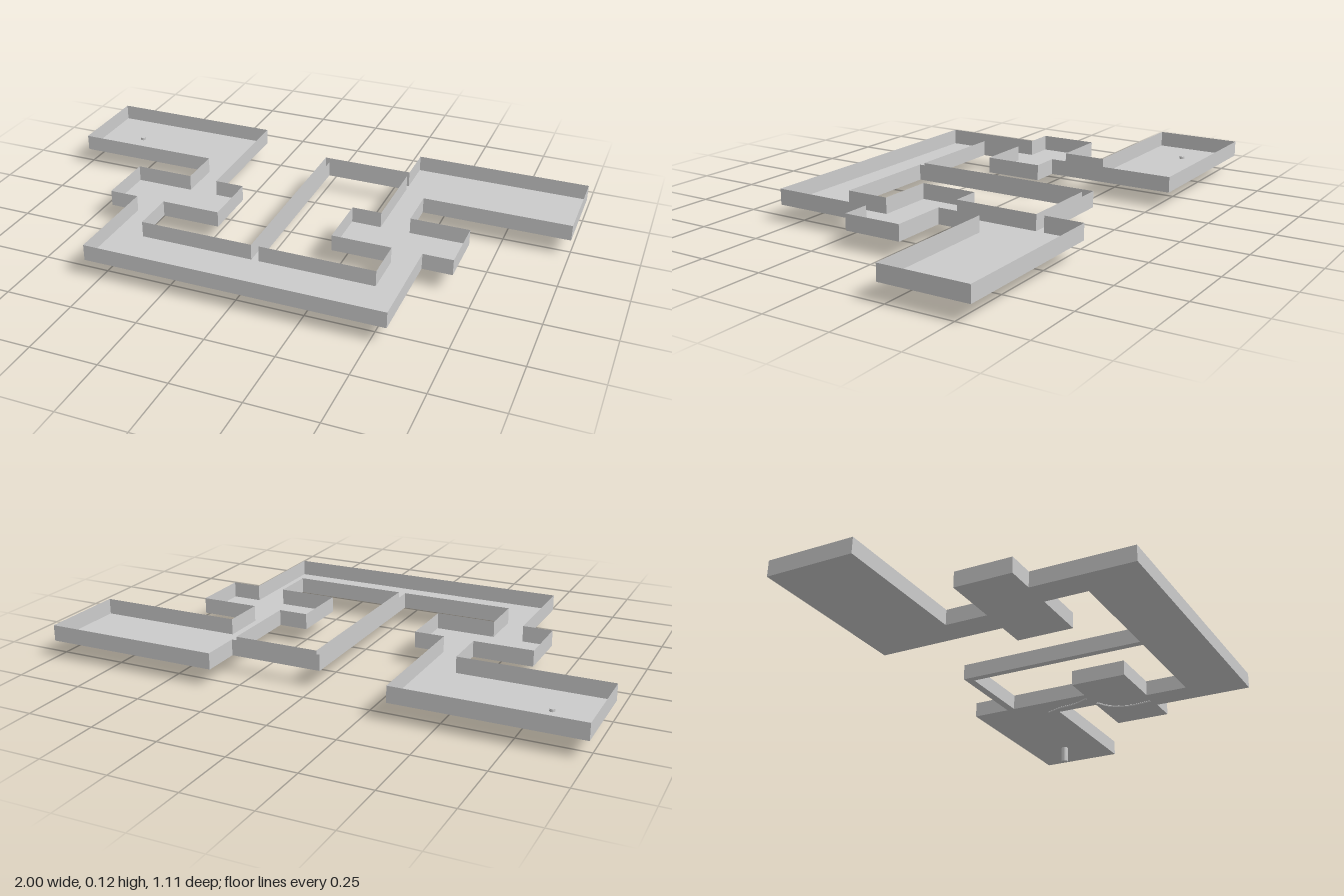
import * as THREE from 'three';

const FLOOR = 0.064, TOP = 0.124, U = 1 / 18;
const mat = new THREE.MeshStandardMaterial({ color: 0xcccccc, flatShading: true, side: THREE.DoubleSide });

// Plan outlines as [x, z] corners, in units of 1/18
const half = [[10, 10], [10, 3], [12, 3], [12, -1], [8, -1], [8, -4], [18, -4], [18, -10], [6, -10]];
const innerSide = [[6, -1], [4, -1], [4, 3], [8, 3], [8, 6]];
const outer = [
  ...half,
  // narrow passage, outer side
  [6, -7.3], [-0.27, -7.3], [-0.27, 6],
  // inner side and outer side of the right wing
  ...[...innerSide].reverse().map(([x, z]) => [-x, z]),
  ...[...half].reverse().map(([x, z]) => [-x, z]),
];
const courtyard = [[0.23, 6], [0.23, -6.75], [6, -6.75], ...innerSide];

function toPoints(list) {
  return list.map(([x, z]) => new THREE.Vector2(x * U, z * U));
}

function part(parent, name, geometry, x = 0, y = 0, z = 0) {
  const mesh = new THREE.Mesh(geometry, mat);
  mesh.name = name;
  mesh.position.set(x, y, z);
  parent.add(mesh);
  return mesh;
}

// One thin upright panel for every edge of a closed outline
function addWalls(parent, name, points) {
  const walls = new THREE.Group();
  walls.name = name;
  points.forEach((a, i) => {
    const b = points[(i + 1) % points.length];
    const panel = part(walls, 'wallPanel', new THREE.PlaneGeometry(a.distanceTo(b), TOP - FLOOR),
      (a.x + b.x) / 2, (FLOOR + TOP) / 2, (a.y + b.y) / 2);
    panel.rotation.y = -Math.atan2(b.y - a.y, b.x - a.x);
  });
  parent.add(walls);
}

export function createModel() {
  const model = new THREE.Group();
  model.name = 'floorPlan';

  // Floor of rooms and passages, with the courtyard left open
  const outerPoints = toPoints(outer), courtPoints = toPoints(courtyard);
  const shape = new THREE.Shape(outerPoints);
  shape.holes.push(new THREE.Path(courtPoints));
  part(model, 'floor', new THREE.ShapeGeometry(shape).rotateX(Math.PI / 2), 0, FLOOR, 0);

  // Walls
  addWalls(model, 'outerWalls', outerPoints);
  addWalls(model, 'courtyardWalls', courtPoints);

  // Post under the left room, small stud on the floor of the right room
  part(model, 'post', new THREE.CylinderGeometry(0.014, 0.014, FLOOR, 10), 0.83, FLOOR / 2, -0.39);
  part(model, 'stud', new THREE.CylinderGeometry(0.01, 0.01, 0.01, 12), -0.835, FLOOR + 0.005, -0.39);

  // Thin bent strips under the left crossing and its passage
  const strips = [
    [[0.5, 0.16], [0.505, 0.06], [0.47, -0.01], [0.42, -0.04]],
    [[0.36, -0.06], [0.39, -0.13], [0.4, -0.2], [0.42, -0.26]],
  ];
  strips.forEach((s) => {
    const curve = new THREE.CatmullRomCurve3(s.map(([x, z]) => new THREE.Vector3(x, FLOOR - 0.004, z)));
    part(model, 'underStrip', new THREE.TubeGeometry(curve, 12, 0.004, 5));
  });

  return model;
}
